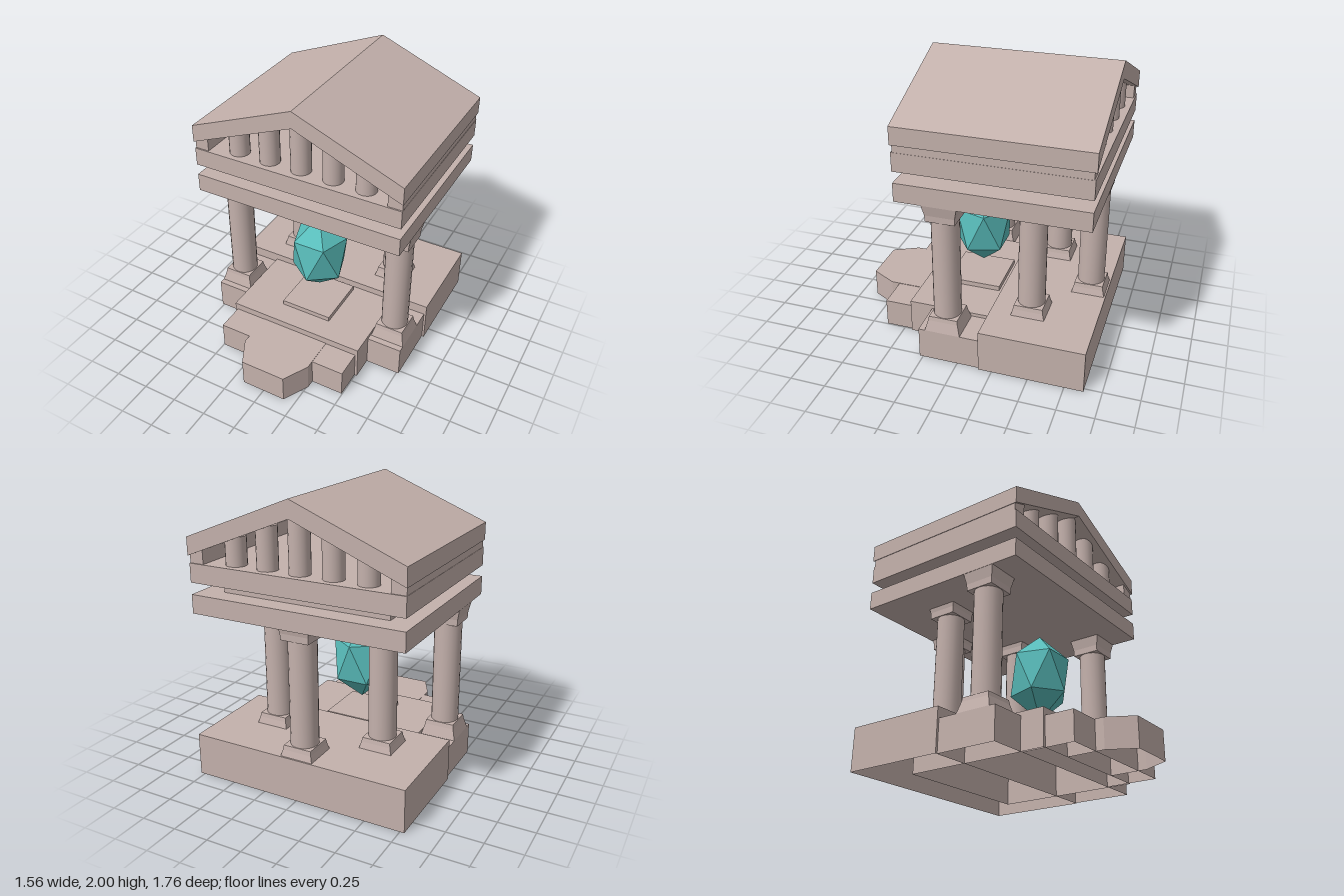
import * as THREE from 'three';

// Double sided because the foundation blocks are open underneath
const stone = new THREE.MeshStandardMaterial({ color: 0xc4b1ac, side: THREE.DoubleSide });
stone.name = 'stone';
const teal = new THREE.MeshStandardMaterial({ color: 0x59bdbb });
teal.name = 'crystal teal';

function add(parent, name, geometry, material = stone) {
  const mesh = new THREE.Mesh(geometry, material);
  mesh.name = name;
  parent.add(mesh);
  return mesh;
}

// Solid box given by its limits on each axis
function box(parent, name, x0, x1, y0, y1, z0, z1) {
  const g = new THREE.BoxGeometry(x1 - x0, y1 - y0, z1 - z0);
  g.translate((x0 + x1) / 2, (y0 + y1) / 2, (z0 + z1) / 2);
  return add(parent, name, g);
}

// Outline in x, z raised from the ground, open underneath
function footing(parent, name, outline, height) {
  const shape = new THREE.Shape(outline.map(([x, z]) => new THREE.Vector2(x, -z)));
  const g = new THREE.ExtrudeGeometry(shape, { depth: height, bevelEnabled: false });
  g.rotateX(-Math.PI / 2);
  const p = g.attributes.position;
  const kept = [];
  for (let i = 0; i < p.count; i += 3) {
    if (Math.max(p.getY(i), p.getY(i + 1), p.getY(i + 2)) > 0.001) kept.push(i, i + 1, i + 2);
  }
  g.setIndex(kept);
  g.clearGroups();
  return add(parent, name, g);
}

const rect = (x0, x1, z0, z1) => [[x0, z0], [x0, z1], [x1, z1], [x1, z0]];

// Square block whose half-width runs from a (bottom) to b (top)
function flare(parent, name, a, b, y0, y1, open = false) {
  const r = Math.SQRT2;
  let g = new THREE.CylinderGeometry(b * r, a * r, y1 - y0, 4, 1, open);
  g.rotateY(Math.PI / 4);
  g = g.toNonIndexed();
  g.computeVertexNormals();
  g.translate(0, (y0 + y1) / 2, 0);
  return add(parent, name, g);
}

function makeColumn(x, y, z) {
  const column = new THREE.Group();
  column.name = 'column';
  flare(column, 'columnBase', 0.125, 0.105, 0, 0.075, true);
  flare(column, 'columnBaseTop', 0.105, 0.1, 0.075, 0.105);
  const shaft = add(column, 'columnShaft', new THREE.CylinderGeometry(0.095, 0.095, 0.75, 20, 1, true));
  shaft.position.y = 0.465;
  flare(column, 'capitalNeck', 0.1, 0.102, 0.835, 0.88);
  flare(column, 'capital', 0.102, 0.118, 0.88, 0.955);
  column.position.set(x, y, z);
  return column;
}

// Stretched twenty-sided gem made from two offset rings of five
function gemGeometry(radius, yBottom, yLow, yHigh, yTop) {
  const ring = (y, turn) => Array.from({ length: 5 }, (_, i) => {
    const a = (i + turn) * Math.PI * 2 / 5;
    return [radius * Math.sin(a), y, radius * Math.cos(a)];
  });
  const low = ring(yLow, 0), high = ring(yHigh, 0.5);
  const v = [];
  for (let i = 0; i < 5; i++) {
    const j = (i + 1) % 5;
    v.push(...high[i], ...high[j], 0, yTop, 0);
    v.push(...low[i], ...low[j], ...high[i]);
    v.push(...low[j], ...high[j], ...high[i]);
    v.push(...low[j], ...low[i], 0, yBottom, 0);
  }
  const g = new THREE.BufferGeometry();
  g.setAttribute('position', new THREE.Float32BufferAttribute(v, 3));
  g.computeVertexNormals();
  return g;
}

export function createModel() {
  const model = new THREE.Group();
  model.name = 'shrine';

  // Stepped foundation
  footing(model, 'rearPlatform', rect(-0.78, 0.78, -0.88, -0.155), 0.3);
  footing(model, 'centrePlatform', rect(-0.513, 0.513, -0.59, 0.44), 0.25);
  footing(model, 'frontStep', rect(-0.495, 0.495, 0.275, 0.64), 0.2);
  footing(model, 'entranceStep',
    [[-0.26, 0.44], [-0.26, 0.7], [-0.165, 0.88], [0.165, 0.88], [0.26, 0.7], [0.26, 0.44]], 0.203);
  for (const s of [-1, 1]) {
    footing(model, 'cornerPlinth', rect(s * 0.637 - 0.128, s * 0.637 + 0.128, -0.157, 0.275), 0.225);
  }
  box(model, 'altarSlab', -0.193, 0.193, 0.245, 0.285, -0.12, 0.275);

  // Main columns, the rear ones standing a little higher
  for (const s of [-1, 1]) {
    model.add(makeColumn(s * 0.64, 0.225, 0.105), makeColumn(s * 0.403, 0.27, -0.42));
  }
  model.add(makeColumn(0, 0.27, -0.752));

  // Entablature
  box(model, 'lowerSlab', -0.76, 0.76, 1.18, 1.31, -0.87, 0.408);
  box(model, 'neckSlab', -0.598, 0.598, 1.31, 1.39, -0.735, 0.275);
  box(model, 'upperSlab', -0.76, 0.76, 1.39, 1.52, -0.87, 0.408);
  for (const s of [-1, 1]) {
    box(model, 'eaveWall', s * 0.708 - 0.05, s * 0.708 + 0.05, 1.52, 1.64, -0.862, 0.398);
  }

  // Short columns under both gables
  for (const z of [0.3, -0.76]) {
    for (let i = -2; i <= 2; i++) {
      const x = i * 0.235;
      const top = 1.9 - 0.4 * Math.abs(x);
      const post = add(model, 'gableColumn', new THREE.CylinderGeometry(0.07, 0.07, top - 1.52, 20));
      post.position.set(x, (top + 1.52) / 2, z);
    }
  }

  // Gabled roof
  const gable = new THREE.Shape([[-0.765, 1.57], [0, 1.88], [0.765, 1.57],
    [0.765, 1.693], [0, 2], [-0.765, 1.693]].map(([x, y]) => new THREE.Vector2(x, y)));
  const roof = new THREE.ExtrudeGeometry(gable, { depth: 1.29, bevelEnabled: false });
  roof.translate(0, 0, -0.878);
  add(model, 'roof', roof);

  // Floating crystal
  add(model, 'crystal', gemGeometry(0.2, 0.38, 0.55, 0.828, 1), teal).position.z = 0.06;

  return model;
}
